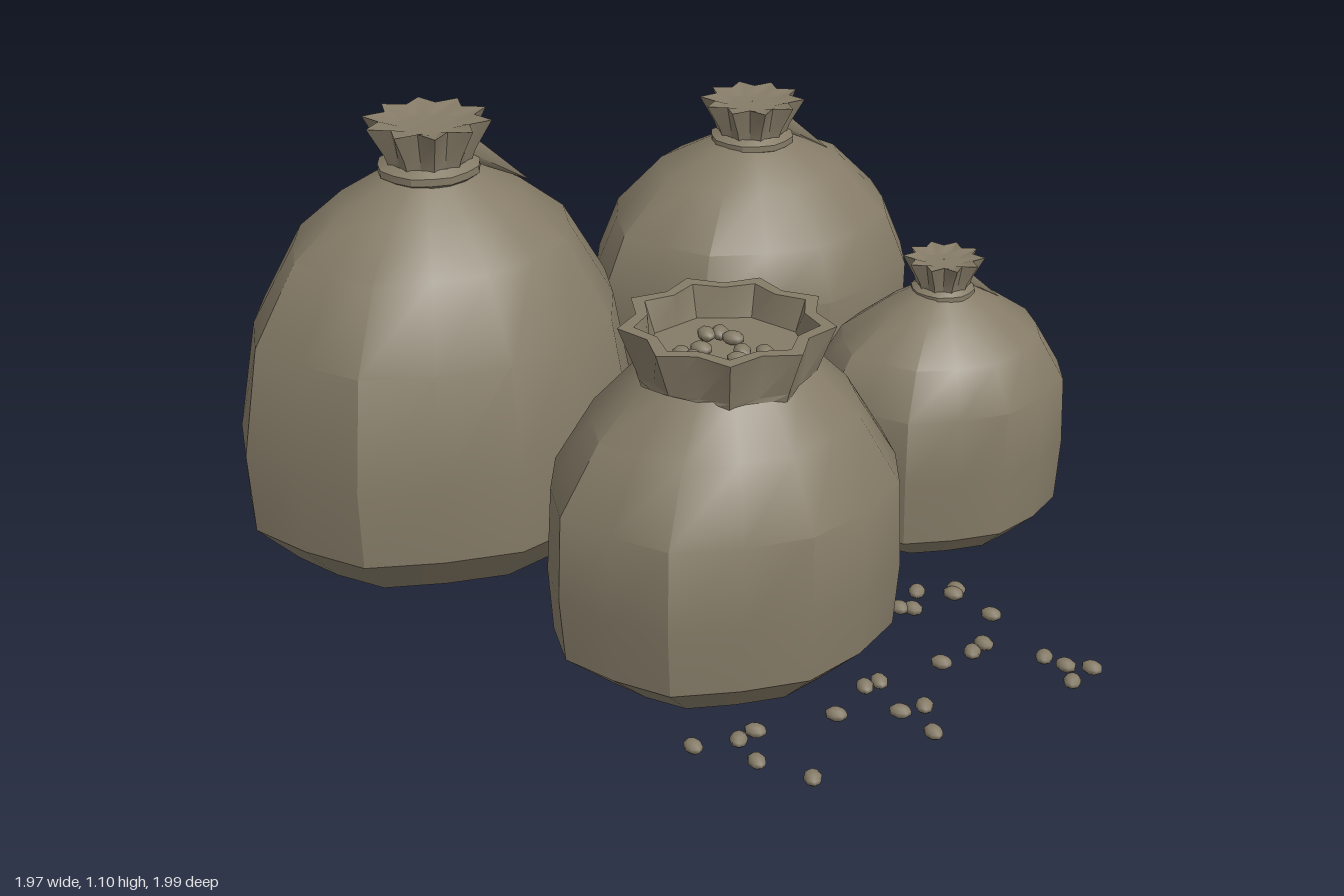
import * as THREE from 'three';
import { toCreasedNormals } from 'three/addons/utils/BufferGeometryUtils.js';

const burlap = new THREE.MeshStandardMaterial({ color: 0x857b67 });
burlap.name = 'burlap';
burlap.side = THREE.DoubleSide;

// Skins rings from bottom to top; ring(row, angle, index) returns [x, y, z]
function loft(rows, sides, ring, crease = 0.55) {
  const pos = [], idx = [];
  rows.forEach((row) => {
    for (let i = 0; i < sides; i++) pos.push(...ring(row, (i / sides) * Math.PI * 2, i));
  });
  for (let r = 0; r < rows.length - 1; r++) {
    for (let i = 0; i < sides; i++) {
      const a = r * sides + i, b = r * sides + (i + 1) % sides, c = a + sides, d = b + sides;
      idx.push(a, c, b, b, c, d);
    }
  }
  const g = new THREE.BufferGeometry();
  g.setAttribute('position', new THREE.Float32BufferAttribute(pos, 3));
  g.setIndex(idx);
  return toCreasedNormals(g, crease);
}

function add(parent, name, geometry) {
  const m = new THREE.Mesh(geometry, burlap);
  m.name = name;
  parent.add(m);
  return m;
}

// Faceted cloth belly: rows are [y, scale, x shift]
function belly(rows, rx, rz) {
  const all = [[rows[0][0], 0.001, rows[0][2]], ...rows];
  return loft(all, 16, ([y, f, dx = 0], a, i) => {
    const k = f * (i % 2 ? 0.965 + 0.015 * Math.sin(i * 2.3 + y * 3) : 1);
    return [Math.cos(a) * rx * k + dx, y, Math.sin(a) * rz * k];
  });
}

// Pleated collar: rows are [y, radius, pleat depth]
function collar(rows, points) {
  return loft(rows, points * 2, ([y, r, p], a, i) => {
    const k = r * (i % 2 ? 1 - p : 1);
    return [Math.cos(a) * k, y, Math.sin(a) * k];
  }, 0.4);
}

// Sack tied at the neck; the shoulder rows end at the tie
function tiedSack(name, x, z, rx, rz, rows, neckY, neckR, rim, topY) {
  const g = new THREE.Group();
  g.name = name;
  g.position.set(x, 0, z);
  add(g, 'belly', belly(rows, rx, rz));
  const h = topY - neckY;
  add(g, 'neckTie', collar([
    [neckY - 0.1 * h, neckR * 0.95, 0], [neckY, neckR * 1.12, 0.03],
    [neckY + 0.14 * h, neckR * 1.12, 0.03], [neckY + 0.25 * h, neckR * 0.9, 0],
  ], 8));
  add(g, 'gatheredTop', collar([
    [neckY + 0.18 * h, neckR * 0.92, 0.08], [neckY + 0.42 * h, neckR * 1.02, 0.15],
    [topY, rim, 0.27], [topY - 0.12 * h, rim * 0.5, 0.15], [topY - 0.08 * h, 0.001, 0],
  ], 10));
  // Pinched cloth fold falling from the tie
  const fold = add(g, 'shoulderFold', new THREE.ConeGeometry(neckR * 0.28, neckR * 1.5, 4));
  fold.geometry.rotateZ(-Math.PI / 2 - 0.55);
  fold.position.set(neckR * 1.5, neckY - 0.08 * h, neckR * 0.3);
  fold.rotation.y = -0.4;
  return g;
}

export function createModel() {
  const model = new THREE.Group();
  model.name = 'sacks';

  model.add(tiedSack('largeSack', -0.46, -0.53, 0.53, 0.45, [
    [0, 0.78], [0.11, 0.98], [0.32, 1], [0.6, 0.91], [0.8, 0.69], [0.9, 0.46], [0.97, 0.23],
  ], 0.97, 0.115, 0.16, 1.1));

  model.add(tiedSack('mediumSack', 0.525, -0.61, 0.455, 0.39, [
    [0, 0.66, -0.04], [0.11, 0.91, -0.02], [0.28, 0.99], [0.5, 1], [0.64, 0.87], [0.77, 0.58], [0.84, 0.25],
  ], 0.835, 0.1, 0.14, 0.95));

  model.add(tiedSack('smallSack', 0.56, 0.21, 0.34, 0.285, [
    [0.075, 0.74], [0.14, 0.97], [0.3, 1], [0.47, 0.98], [0.58, 0.78], [0.66, 0.44], [0.7, 0.22],
  ], 0.69, 0.07, 0.1, 0.78));

  // Open sack with a star-shaped rim
  const open = new THREE.Group();
  open.name = 'openSack';
  open.position.set(-0.17, 0, 0.38);
  add(open, 'belly', belly([
    [0, 0.7], [0.1, 0.97], [0.26, 1], [0.47, 0.98], [0.63, 0.75], [0.74, 0.5],
  ], 0.44, 0.372));
  add(open, 'openRim', collar([
    [0.72, 0.2, 0.04], [0.74, 0.205, 0.08], [0.85, 0.247, 0.17],
    [0.85, 0.21, 0.15], [0.775, 0.185, 0.06], [0.775, 0.001, 0],
  ], 9));
  model.add(open);

  // Beans: slightly squashed low-poly pebbles
  const beanShape = new THREE.SphereGeometry(1, 8, 5);
  const scatter = (name, spots, y) => {
    const group = new THREE.Group();
    group.name = name;
    spots.forEach(([x, z], i) => {
      const bean = add(group, 'bean', beanShape);
      bean.scale.set(0.021, 0.016, 0.027);
      bean.position.set(x, y, z);
      bean.rotation.y = Math.sin(i * 4.1) * 0.7;
    });
    model.add(group);
  };
  scatter('beansInSack', [
    [-0.28, 0.37], [-0.27, 0.4], [-0.23, 0.37], [-0.18, 0.31], [-0.15, 0.32],
    [-0.14, 0.36], [-0.16, 0.43], [-0.12, 0.46], [-0.19, 0.46],
  ], 0.79);
  scatter('spilledBeans', [
    [-0.47, 0.73], [-0.37, 0.76], [-0.32, 0.75], [-0.38, 0.85], [-0.31, 0.965], [-0.13, 0.79],
    [-0.01, 0.73], [0.03, 0.73], [0, 0.855], [0.06, 0.865], [0.015, 0.96], [0.2, 0.74],
    [0.29, 0.74], [0.335, 0.725], [0.43, 0.63], [0.42, 0.845], [0.44, 0.9], [0.485, 0.94],
    [0.41, 0.96], [0.26, 0.49], [0.285, 0.51], [0.34, 0.45], [0.41, 0.505], [0.43, 0.49],
  ], 0.026);
  return model;
}
